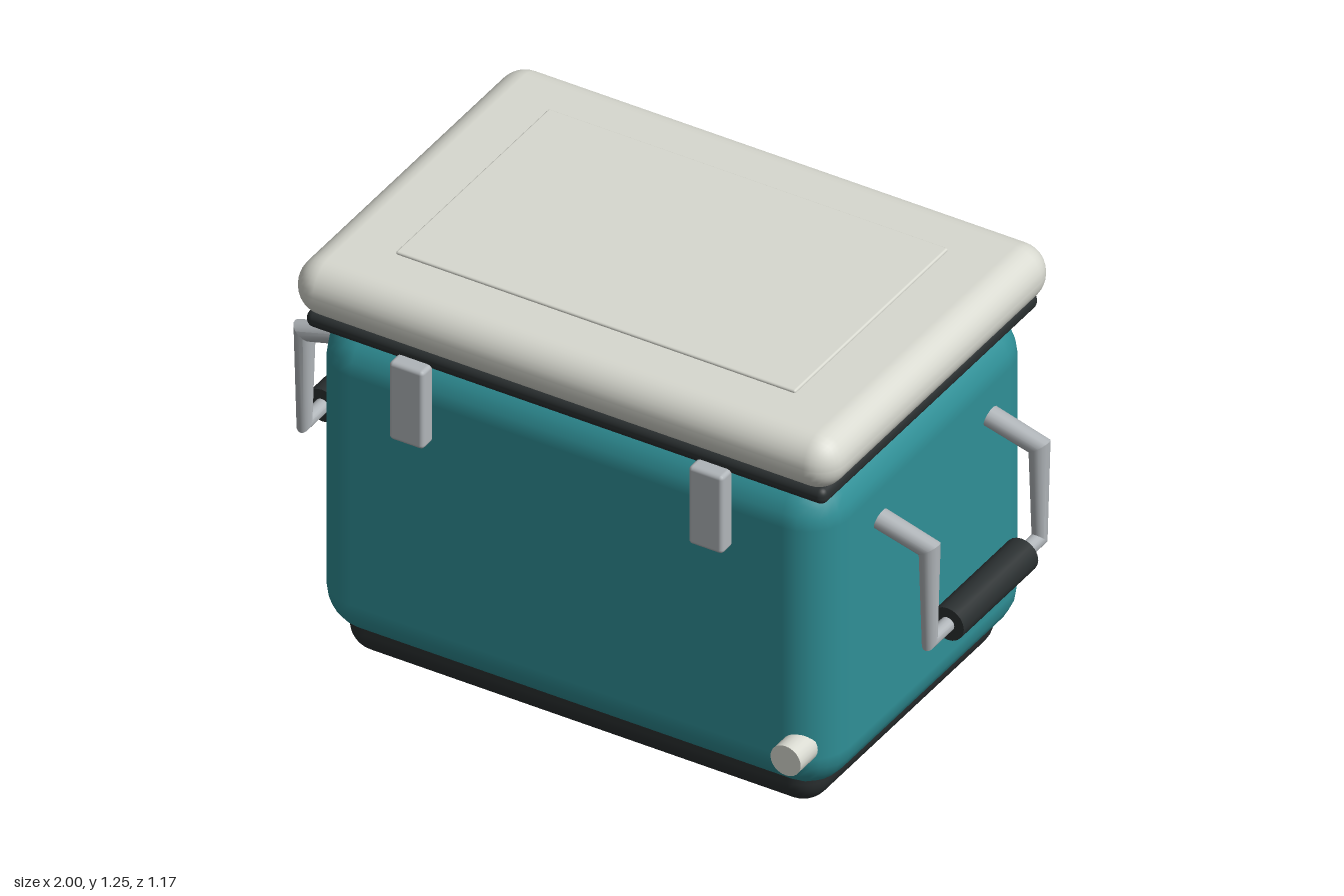
import * as THREE from 'three';
import { RoundedBoxGeometry } from 'three/addons/geometries/RoundedBoxGeometry.js';
import { toCreasedNormals } from 'three/addons/utils/BufferGeometryUtils.js';

const material = (color) => new THREE.MeshStandardMaterial({ color });

// Round tube along straight runs, with mitred corners and a radius per point
function mitredTube(points, radii, sides = 16) {
  const dirs = points.slice(1).map((p, i) => p.clone().sub(points[i]).normalize());
  const u = new THREE.Vector3(0, 0, 1);
  const v = dirs[0].clone().cross(u).normalize();
  let ring = [];
  for (let j = 0; j < sides; j++) {
    const a = (j / sides) * Math.PI * 2;
    ring.push(u.clone().multiplyScalar(Math.cos(a)).addScaledVector(v, Math.sin(a)));
  }
  const positions = [], index = [];
  points.forEach((p, i) => {
    const along = dirs[Math.max(i - 1, 0)];
    const next = dirs[Math.min(i, dirs.length - 1)];
    const normal = along.clone().add(next).normalize();
    ring = ring.map((o) => o.clone().addScaledVector(along, -o.dot(normal) / along.dot(normal)));
    ring.forEach((o) => positions.push(...p.clone().addScaledVector(o, radii[i]).toArray()));
    if (i === 0) return;
    for (let j = 0; j < sides; j++) {
      const k = (j + 1) % sides, a = (i - 1) * sides, b = i * sides;
      index.push(a + j, a + k, b + j, a + k, b + k, b + j);
    }
  });
  // End caps
  const last = (points.length - 1) * sides;
  for (let j = 1; j < sides - 1; j++) {
    index.push(0, j + 1, j, last, last + j, last + j + 1);
  }
  const geometry = new THREE.BufferGeometry();
  geometry.setAttribute('position', new THREE.Float32BufferAttribute(positions, 3));
  geometry.setIndex(index);
  return toCreasedNormals(geometry, 0.5);
}

export function createModel() {
  const group = new THREE.Group();
  const teal = material(0x2f8f96);
  const cream = material(0xd8d9d0);
  const dark = material(0x2a2f30);
  const metal = material(0xb0b5b9);

  function add(name, geometry, mat, x, y, z, parent = group) {
    const mesh = new THREE.Mesh(geometry, mat);
    mesh.name = name;
    mesh.position.set(x, y, z);
    parent.add(mesh);
    return mesh;
  }
  // Rounded box given by its width, bottom, top and depth
  const block = (name, w, y0, y1, d, r, mat, segments = 4) =>
    add(name, new RoundedBoxGeometry(w, y1 - y0, d, segments, r), mat, 0, (y0 + y1) / 2, 0.004);

  // Stacked shell
  block('base', 1.445, 0, 0.2, 0.955, 0.08, dark);
  block('body', 1.57, 0.07, 1.05, 1.055, 0.13, teal, 3);
  block('gasket', 1.58, 1.035, 1.085, 1.075, 0.022, dark);
  block('lid', 1.65, 1.075, 1.24, 1.135, 0.08, cream);
  block('lidPanel', 1.215, 1.22, 1.248, 0.762, 0.006, cream, 2);

  // Front latches and rear hinges
  for (const side of [-1, 1]) {
    add('latch', new RoundedBoxGeometry(0.105, 0.245, 0.055, 2, 0.012), metal, side * 0.455, 0.932, 0.557);
    const hinge = add('hinge', new THREE.CylinderGeometry(0.035, 0.035, 0.245, 16), metal, side * 0.455, 1.067, -0.546);
    hinge.rotation.z = Math.PI / 2;
  }

  // Drain plug
  const plug = add('drainPlug', new THREE.CylinderGeometry(0.046, 0.046, 0.085, 24), cream, 0.7, 0.232, 0.542);
  plug.rotation.x = Math.PI / 2;

  // Side handles, the right one turned half round
  const path = [
    [0.8, 0.852, 0.273], [0.95, 0.81, 0.273], [0.95, 0.52, 0.273],
    [0.95, 0.52, -0.273], [0.95, 0.81, -0.273], [0.8, 0.852, -0.273],
  ].map((p) => new THREE.Vector3(...p));
  const tube = mitredTube(path, [0.03, 0.029, 0.021, 0.021, 0.029, 0.03]);
  for (const name of ['leftHandle', 'rightHandle']) {
    const handle = new THREE.Group();
    handle.name = name;
    add('handleBar', tube, metal, 0, 0, 0, handle);
    const grip = add('grip', new THREE.CylinderGeometry(0.05, 0.05, 0.37, 20), dark, 0.95, 0.52, 0, handle);
    grip.rotation.x = Math.PI / 2;
    if (name === 'rightHandle') handle.rotation.y = Math.PI;
    handle.position.z = 0.004;
    group.add(handle);
  }
  return group;
}
